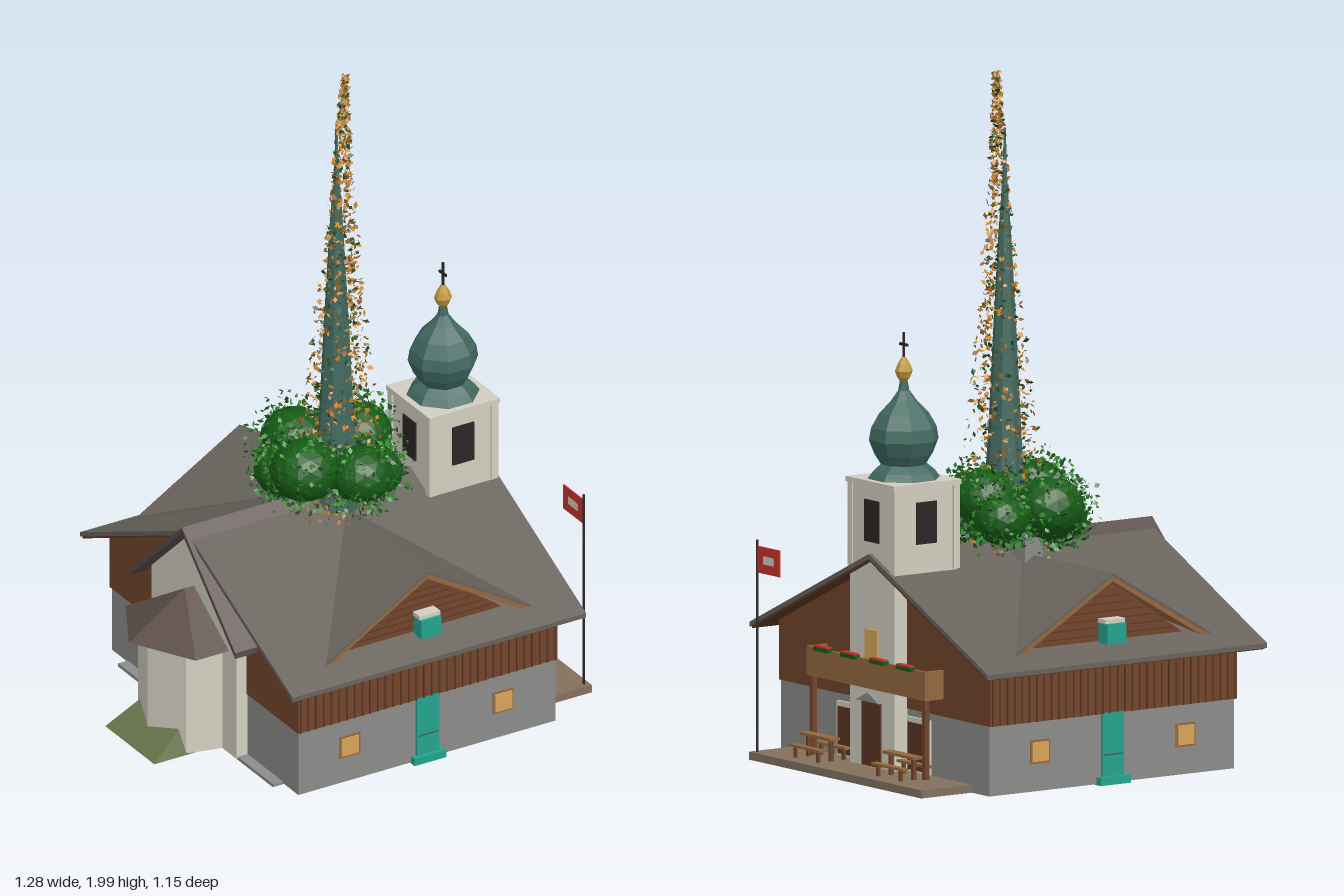
import * as THREE from 'three';
import { ConvexGeometry } from 'three/addons/geometries/ConvexGeometry.js';

const mat = (color, double) => new THREE.MeshStandardMaterial({
  color, flatShading: true, side: double ? THREE.DoubleSide : THREE.FrontSide });
const M = {
  roof: mat(0x68645c), slate: mat(0x5a4c48), wood: mat(0x73452c), plank: mat(0x5c3622), beam: mat(0x95683f),
  stone: mat(0x8c8c8a), white: mat(0xd2cec0), teal: mat(0x24a48e), copper: mat(0x416a61), gold: mat(0xc2983a),
  glow: mat(0xd8a658), dark: mat(0x2a2623), deck: mat(0x84715f), grass: mat(0x68754a), red: mat(0xc8342c),
  bush: mat(0x165a16), leaf: mat(0x2f8a26, true), deepLeaf: mat(0x1d4f22, true),
  amber: mat(0xcf8a30, true), rust: mat(0x8a5a28, true),
};

export function createModel() {
  const root = new THREE.Group();
  const add = (name, geo, m) => {
    const mesh = new THREE.Mesh(geo, m);
    mesh.name = name;
    root.add(mesh);
    return mesh;
  };
  // box given by its ranges
  const box = (name, m, x0, x1, y0, y1, z0, z1) => add(name,
    new THREE.BoxGeometry(x1 - x0, y1 - y0, z1 - z0).translate((x0 + x1) / 2, (y0 + y1) / 2, (z0 + z1) / 2), m);
  const shape = pts => new THREE.Shape(pts.map(p => new THREE.Vector2(...p)));
  const extrude = (s, depth) => new THREE.ExtrudeGeometry(s, { depth, bevelEnabled: false });
  // symmetric (z, y) profile run along x
  const alongX = (name, m, pts, x0, x1) =>
    add(name, extrude(shape(pts), x1 - x0).rotateY(Math.PI / 2).translate(x0, 0, 0), m);
  // (x, z) plan run up y
  const upY = (name, m, s, y0, y1) =>
    add(name, extrude(s, y1 - y0).rotateX(-Math.PI / 2).translate(0, y0, 0), m);
  const hull = (name, m, pts) => add(name, new ConvexGeometry(pts.map(p => new THREE.Vector3(...p))), m);
  const chevron = (w, eave, top, t) => [[-w, eave - t], [-w, eave], [0, top], [w, eave], [w, eave - t], [0, top - t]].reverse();
  const rect = (x, z) => [[-x, -z], [x, -z], [x, z], [-x, z]];

  // ground plate, foundation and masonry ring
  box('groundPlate', M.stone, -0.42, 0.38, 0.02, 0.03, -0.42, 0.42);
  hull('foundationRock', M.stone, [[-0.07, 0.02, -0.05], [0.11, 0.02, -0.06], [0.1, 0.02, 0.08], [-0.05, 0.02, 0.08],
    [-0.03, 0, -0.03], [0.08, 0, -0.04], [0.05, 0, 0.05]]);
  const ring = shape(rect(0.425, 0.505));
  ring.holes.push(new THREE.Path(rect(0.39, 0.47).map(p => new THREE.Vector2(...p))));
  upY('lowerWalls', M.stone, ring, 0.025, 0.23).position.x = 0.0375;

  // timber upper storey with gables, and plank joints
  alongX('upperStorey', M.wood, [[-0.512, 0.225], [0.512, 0.225], [0.512, 0.395], [0, 0.638], [-0.512, 0.395]], -0.392, 0.465);
  for (let i = 0; i < 34; i++) {
    const x = -0.385 + i * 0.0255;
    for (const s of [-1, 1]) box('plankBatten', M.plank, x - 0.002, x + 0.002, 0.225, 0.385, s * 0.513 - 0.002, s * 0.513 + 0.002);
  }

  // main roof with timber lining
  alongX('mainRoof', M.roof, chevron(0.577, 0.387, 0.657, 0.014), -0.45, 0.52);
  alongX('roofLining', M.plank, chevron(0.57, 0.377, 0.644, 0.008), -0.446, 0.517);

  // front and back: dormer, door, windows
  for (const s of [-1, 1]) {
    const zbox = (name, m, x0, x1, y0, y1, a, b) => box(name, m, x0, x1, y0, y1, Math.min(a * s, b * s), Math.max(a * s, b * s));
    for (const e of [-0.3, 0.375]) {
      const tri = [[e, 0.425, 0.512], [0.037, 0.625, 0.512], [0.037, 0.625, 0.07]];
      const slab = (y0, y1, dz) => [y0, y1].flatMap(d => tri.map(([x, y, z]) => [x, y + d, s * (z - dz)]));
      hull('dormerRoof', M.roof, slab(-0.008, 0, 0));
      hull('dormerRafter', M.beam, slab(-0.024, -0.008, 0.004));
    }
    const gable = extrude(shape([[-0.25, 0.41], [0.325, 0.41], [0.037, 0.605]]), 0.02);
    add('dormerGable', gable.translate(0, 0, s > 0 ? 0.465 : -0.485), M.wood);
    for (let i = 1; i < 7; i++) {
      const half = 0.26 * (1 - i / 7.5), y = 0.425 + i * 0.022;
      zbox('gablePlankJoint', M.plank, 0.037 - half, 0.037 + half, y - 0.0015, y + 0.0015, 0.48, 0.487);
    }
    zbox('dormerWindow', M.teal, 0.005, 0.07, 0.425, 0.483, 0.44, 0.53);
    zbox('dormerWindowHead', M.white, 0.003, 0.072, 0.483, 0.495, 0.46, 0.522);
    zbox('door', M.teal, 0, 0.075, 0.045, 0.228, 0.49, 0.513);
    zbox('doorRail', M.copper, 0.005, 0.07, 0.105, 0.11, 0.51, 0.515);
    zbox('doorStep', M.teal, -0.015, 0.09, 0.022, 0.045, 0.49, 0.525);
    for (const x of [-0.218, 0.288]) {
      zbox('windowFrame', M.beam, x - 0.034, x + 0.034, 0.104, 0.172, 0.5, 0.508);
      zbox('windowPane', M.glow, x - 0.028, x + 0.028, 0.11, 0.166, 0.5, 0.511);
    }
  }

  // steep chapel gable with polygonal apse
  alongX('chapelRoof', M.slate, chevron(0.29, 0.402, 0.672, 0.018), -0.465, 0);
  alongX('chapelWall', M.white, [[-0.23, 0.025], [0.23, 0.025], [0.23, 0.435], [0, 0.65], [-0.23, 0.435]], -0.425, -0.38);
  upY('apseWall', M.white, shape([[-0.4, -0.16], [-0.4, 0.16], [-0.53, 0.13], [-0.578, 0], [-0.53, -0.13]].reverse()), 0.025, 0.355);
  const eaves = [[-0.42, 0.19], [-0.535, 0.19], [-0.64, 0], [-0.535, -0.19], [-0.42, -0.19]];
  hull('apseRoof', M.slate, [[-0.455, 0.475, 0], [-0.42, 0.475, 0], ...eaves.map(([x, z]) => [x, 0.352, z])]);
  hull('grassBank', M.grass, [-0.133, 0.133].flatMap(z => [[-0.637, 0.022, z], [-0.5, 0.022, z], [-0.5, 0.125, z * 0.7]]));

  // tower
  box('towerShaft', M.white, 0.29, 0.508, 0.025, 0.85, -0.108, 0.108);
  box('towerCornice', M.white, 0.282, 0.516, 0.85, 0.865, -0.117, 0.117);
  const tx = 0.398;
  for (const a of [-1, 1]) {
    for (const b of [-1, 1])
      box('towerCorner', M.white, tx + a * 0.103 - 0.011, tx + a * 0.103 + 0.011, 0.61, 0.85, b * 0.103 - 0.011, b * 0.103 + 0.011);
    box('towerOpening', M.dark, tx - 0.035, tx + 0.035, 0.69, 0.81, a * 0.109 - 0.004, a * 0.109 + 0.004);
    box('towerOpening', M.dark, tx + a * 0.109 - 0.004, tx + a * 0.109 + 0.004, 0.69, 0.81, -0.035, 0.035);
  }
  // faceted onion dome and finial
  const lathe = (name, m, pts) => add(name, new THREE.LatheGeometry(pts.map(p => new THREE.Vector2(...p)), 8)
    .rotateY(Math.PI / 8).translate(tx, 0, 0), m);
  lathe('onionDome', M.copper, [[0.105, 0.865], [0.09, 0.885], [0.066, 0.905], [0.085, 0.935], [0.101, 0.975], [0.095, 1.01],
    [0.072, 1.05], [0.038, 1.085], [0.016, 1.115], [0.01, 1.15]]);
  lathe('finialBall', M.gold, [[0.005, 1.135], [0.018, 1.15], [0.026, 1.17], [0.018, 1.19], [0.006, 1.21]]);
  box('finialRod', M.dark, tx - 0.003, tx + 0.003, 1.2, 1.28, -0.003, 0.003);
  box('finialArm', M.dark, tx - 0.003, tx + 0.003, 1.242, 1.249, -0.018, 0.018);

  // entrance side
  box('entranceDoor', M.plank, 0.5, 0.513, 0.05, 0.235, -0.045, 0.045);
  hull('doorPediment', M.stone, [0.505, 0.525].flatMap(x => [[x, 0.235, -0.055], [x, 0.235, 0.055], [x, 0.262, 0]]));
  box('balconyWindow', M.glow, 0.5, 0.513, 0.35, 0.44, -0.03, 0.03);
  box('terrace', M.deck, 0.45, 0.638, 0.025, 0.048, -0.42, 0.415);
  box('balconyFloor', M.beam, 0.46, 0.53, 0.275, 0.285, -0.287, 0.287);
  box('balconyRail', M.beam, 0.52, 0.53, 0.275, 0.358, -0.287, 0.287);
  for (const s of [-1, 1]) {
    const zbox = (name, m, x0, x1, y0, y1, a, b) => box(name, m, x0, x1, y0, y1, Math.min(a * s, b * s), Math.max(a * s, b * s));
    zbox('balconySide', M.beam, 0.46, 0.53, 0.275, 0.358, 0.277, 0.287);
    zbox('balconyPost', M.wood, 0.51, 0.525, 0.045, 0.275, 0.265, 0.28);
    zbox('sideWindowFrame', M.white, 0.46, 0.47, 0.045, 0.205, 0.115, 0.225);
    zbox('sideWindow', M.plank, 0.46, 0.474, 0.055, 0.19, 0.125, 0.215);
    for (const z of [0.07, 0.2]) {
      zbox('flowerBox', M.bush, 0.524, 0.545, 0.353, 0.364, z - 0.034, z + 0.034);
      zbox('flowers', M.red, 0.527, 0.545, 0.364, 0.369, z - 0.032, z + 0.032);
    }
    // table and benches
    zbox('tableTop', M.beam, 0.53, 0.562, 0.108, 0.116, 0.125, 0.275);
    zbox('bench', M.beam, 0.58, 0.601, 0.079, 0.086, 0.125, 0.275);
    zbox('bench', M.beam, 0.492, 0.513, 0.079, 0.086, 0.125, 0.275);
    for (const z of [0.14, 0.25]) {
      zbox('tableLeg', M.wood, 0.54, 0.552, 0.045, 0.108, z, z + 0.01);
      for (const x of [0.498, 0.587]) zbox('benchLeg', M.wood, x, x + 0.008, 0.045, 0.08, z, z + 0.01);
    }
  }
  add('flagpole', new THREE.CylinderGeometry(0.004, 0.004, 0.61, 6).translate(0.622, 0.35, 0.397), M.dark);
  box('flag', M.red, 0.62, 0.624, 0.562, 0.638, 0.288, 0.393);
  box('flagPanel', M.white, 0.619, 0.625, 0.589, 0.612, 0.316, 0.366);

  // overgrown spire
  const cx = 0.04, cz = 0.01;
  box('chimney', M.stone, 0.01, 0.07, 0.55, 0.68, -0.13, -0.07);
  const spire = [[0.085, 0.58], [0.062, 0.75], [0.048, 0.95], [0.036, 1.2], [0.02, 1.5], [0.006, 1.7], [0.003, 1.83]];
  add('spire', new THREE.LatheGeometry(spire.map(p => new THREE.Vector2(...p)), 8).translate(cx, 0, cz), M.copper);

  const blobs = [[-0.09, 0.775, 0.05, 0.1], [0.15, 0.785, -0.05, 0.095], [0.0, 0.76, -0.15, 0.1], [0.05, 0.76, 0.13, 0.09],
    [-0.08, 0.72, -0.07, 0.09], [0.16, 0.74, -0.14, 0.08], [0.13, 0.72, 0.07, 0.08]];
  for (const [x, y, z, r] of blobs)
    add('bushClump', new THREE.IcosahedronGeometry(r, 2).scale(1, 0.9, 1).translate(x, y, z), M.bush);

  // scattered leaves: one small folded-free diamond per placement
  let seed = 7;
  const rnd = () => (seed = (seed * 16807) % 2147483647) / 2147483647;
  const leaves = (name, m, count, place) => {
    const pos = [], u = new THREE.Vector3(), v = new THREE.Vector3();
    for (let i = 0; i < count; i++) {
      const c = place(), size = 0.006 + 0.006 * rnd();
      u.set(rnd() - 0.5, rnd() - 0.5, rnd() - 0.5).setLength(size);
      v.set(rnd() - 0.5, rnd() - 0.5, rnd() - 0.5).cross(u).setLength(size * 0.65);
      const a = c.clone().add(u), b = c.clone().add(v), d = c.clone().sub(u), e = c.clone().sub(v);
      for (const p of [a, b, d, a, d, e]) pos.push(p.x, p.y, p.z);
    }
    const g = new THREE.BufferGeometry();
    g.setAttribute('position', new THREE.Float32BufferAttribute(pos, 3));
    g.computeVertexNormals();
    add(name, g, m);
  };
  const inBush = () => {
    const [x, y, z, r] = blobs[Math.floor(rnd() * blobs.length)];
    const d = new THREE.Vector3(rnd() - 0.5, rnd() - 0.5, rnd() - 0.5).setLength(r * (0.9 + 0.7 * rnd() * rnd()));
    return d.add(new THREE.Vector3(x, y, z));
  };
  const onSpire = () => {
    const t = Math.pow(rnd(), 1.45), a = rnd() * Math.PI * 2;
    const r = (0.012 + 0.135 * Math.pow(1 - t, 1.4)) * (0.4 + 0.65 * rnd());
    return new THREE.Vector3(cx + 0.015 * t + r * Math.cos(a), 0.62 + 1.37 * t, cz + 0.02 * t + r * Math.sin(a));
  };
  leaves('bushLeaves', M.leaf, 1700, inBush);
  leaves('bushShadowLeaves', M.deepLeaf, 1100, inBush);
  leaves('vineAmberLeaves', M.amber, 950, onSpire);
  leaves('vineRustLeaves', M.rust, 500, onSpire);
  leaves('vineGreenLeaves', M.deepLeaf, 500, onSpire);
  return root;
}
